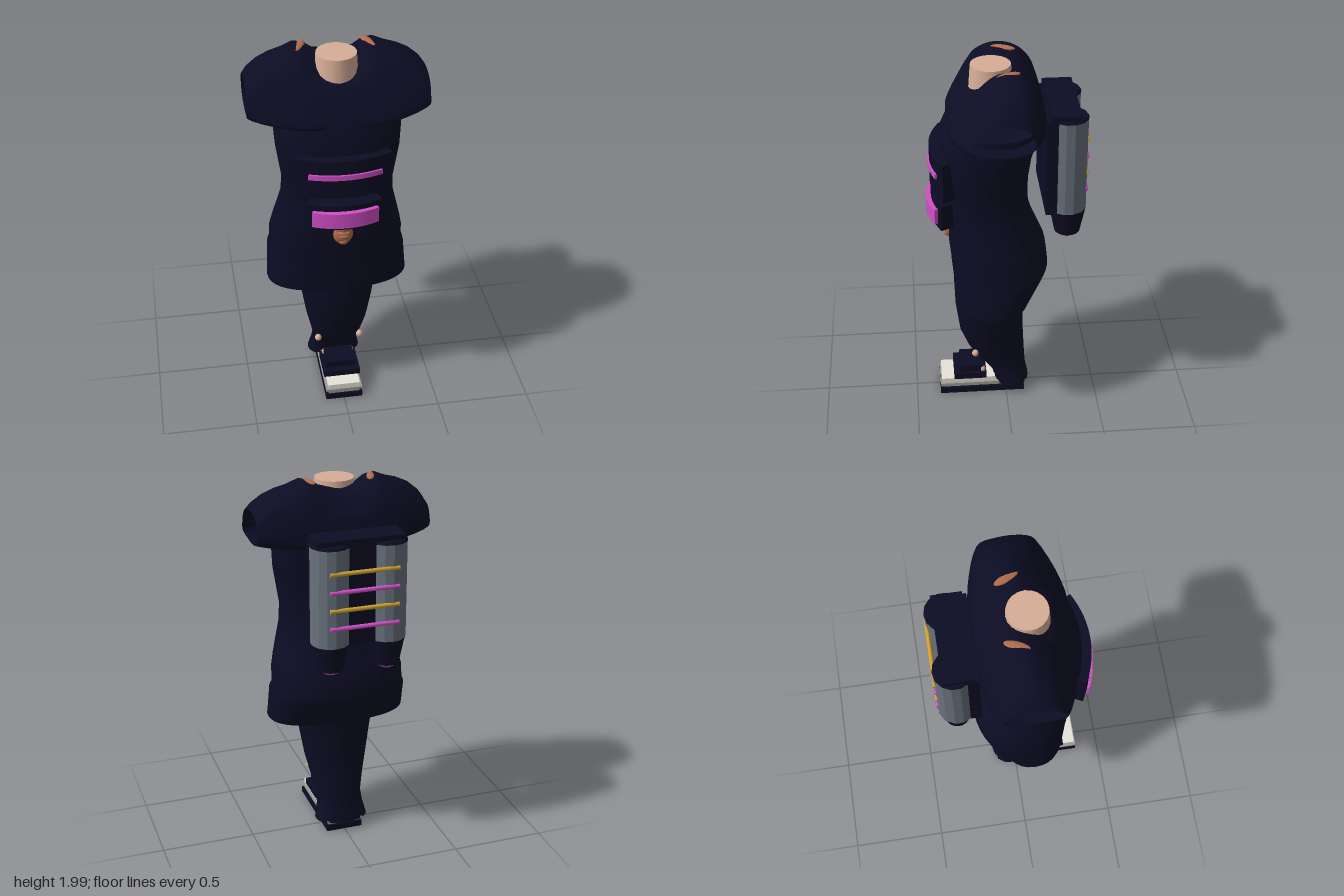
import * as THREE from 'three';

const mat = (name, color, side = THREE.FrontSide) => {
  const m = new THREE.MeshStandardMaterial({ color, side });
  m.name = name;
  return m;
};

// Joins equal-length closed rings of [x, y, z] points into a smooth open skin
function loft(rings) {
  const n = rings[0].length, index = [];
  for (let r = 0; r < rings.length - 1; r++) {
    for (let i = 0; i < n; i++) {
      const a = r * n + i, b = r * n + (i + 1) % n;
      index.push(a, a + n, b, b, a + n, b + n);
    }
  }
  const g = new THREE.BufferGeometry();
  g.setAttribute('position', new THREE.Float32BufferAttribute(rings.flat(2), 3));
  g.setIndex(index);
  g.computeVertexNormals();
  return g;
}

// Horizontal rounded section: height, half width, front z, back z
function section([y, w, zf, zb], power = 2.4, n = 40) {
  const ring = [], e = 2 / power;
  for (let i = 0; i < n; i++) {
    const a = i / n * Math.PI * 2, c = Math.cos(a), s = Math.sin(a);
    ring.push([w * Math.sign(c) * Math.abs(c) ** e, y,
      (zf + zb) / 2 + (zf - zb) / 2 * Math.sign(s) * Math.abs(s) ** e]);
  }
  return ring;
}

// Band curved around the front of the belly
function arcBand(w, sag, zFront, thick, y0, y1) {
  const R = (w * w + sag * sag) / (2 * sag), a = Math.asin(w / R), mid = Math.PI / 2;
  const s = new THREE.Shape();
  s.absarc(0, zFront - R, R, mid - a, mid + a, false);
  s.absarc(0, zFront - R, R - thick, mid + a, mid - a, true);
  s.closePath();
  const g = new THREE.ExtrudeGeometry(s, { depth: y1 - y0, bevelEnabled: false, curveSegments: 16 });
  return g.rotateX(Math.PI / 2).translate(0, y1, 0);
}

export function createModel() {
  const model = new THREE.Group();
  const navy = mat('navy cloth', 0x0c0c24, THREE.DoubleSide);
  const grey = mat('tank grey', 0x69727e);
  const pink = mat('magenta glow', 0xd24fc8);
  const gold = mat('gold', 0xd0a030);
  const skin = mat('light skin', 0xd8ae98);
  const tan = mat('dark skin', 0xb06c4c);
  const white = mat('shoe white', 0xe8e4da);
  const mid = mat('shoe grey', 0x9a9a96);

  const add = (name, geo, material, x = 0, y = 0, z = 0, parent = model) => {
    const m = new THREE.Mesh(geo, material);
    m.name = name;
    m.position.set(x, y, z);
    parent.add(m);
    return m;
  };
  const box = (w, h, d) => new THREE.BoxGeometry(w, h, d);
  const ball = (x, y, z) => new THREE.SphereGeometry(1, 20, 14).scale(x, y, z);

  // Coat body with a flared, open hem
  add('coat', loft([
    [0.68, 0.375, 0.27, -0.13], [0.84, 0.365, 0.285, -0.215], [0.86, 0.352, 0.285, -0.225],
    [0.95, 0.35, 0.295, -0.215], [1.02, 0.335, 0.3, -0.185], [1.1, 0.315, 0.3, -0.15],
    [1.2, 0.29, 0.3, -0.12], [1.3, 0.285, 0.31, -0.115], [1.4, 0.3, 0.32, -0.12],
    [1.5, 0.315, 0.335, -0.135], [1.6, 0.322, 0.335, -0.165], [1.69, 0.312, 0.295, -0.187],
  ].map(r => section(r))), navy);

  // Shoulders and short open sleeves, blended from chest profile to cuff along x
  const chest = [[0.295, 1.67], [0.245, 1.77], [0.19, 1.85], [0.13, 1.93], [0.04, 1.995],
    [-0.07, 1.985], [-0.14, 1.92], [-0.18, 1.82], [-0.187, 1.69], [-0.08, 1.65], [0.1, 1.65]];
  const cuff = [[0.19, 1.71], [0.185, 1.76], [0.165, 1.8], [0.13, 1.83], [0.05, 1.85],
    [-0.03, 1.84], [-0.08, 1.82], [-0.105, 1.78], [-0.11, 1.73], [-0.04, 1.69], [0.1, 1.69]];
  const shoulderRing = ([x, t, dip]) => {
    const pts = chest.map(([z, y], i) => new THREE.Vector3(x,
      THREE.MathUtils.lerp(y, cuff[i][1], t) - (y > 1.9 ? dip : 0),
      THREE.MathUtils.lerp(z, cuff[i][0], t)));
    return new THREE.CatmullRomCurve3(pts, true).getPoints(44).slice(0, 44).map(p => p.toArray());
  };
  const half = [[0.1, 0, 0.045], [0.15, 0.01, 0.01], [0.2, 0.05, -0.005], [0.26, 0.18, 0],
    [0.32, 0.36, -0.01], [0.38, 0.58, -0.015], [0.43, 0.82, -0.01], [0.455, 1, 0]];
  const stations = [...half.map(([x, t, d]) => [-x, t, d]).reverse(), [0, 0, 0.055], ...half];
  add('shouldersAndSleeves', loft(stations.map(shoulderRing)), navy);

  // Neck stump and the skin showing at the collar
  add('neck', new THREE.CylinderGeometry(0.102, 0.112, 0.135, 20), skin, 0, 1.907, 0.07);
  for (const s of [-1, 1]) {
    const strip = add('collarSkin', ball(0.022, 0.012, 0.065), tan, s * 0.17, 1.984, -0.005);
    strip.rotation.y = s * 0.4;
  }

  // Trousers, one joined shape
  add('trousers', loft([
    [0.06, 0.145, 0.06, -0.13], [0.13, 0.128, 0.08, -0.115], [0.2, 0.122, 0.14, -0.11],
    [0.3, 0.143, 0.21, -0.105], [0.4, 0.165, 0.25, -0.1], [0.55, 0.19, 0.27, -0.1],
    [0.7, 0.21, 0.275, -0.11], [0.86, 0.25, 0.27, -0.15],
  ].map(r => section(r, 2.2))), navy);

  // Small skin studs at shin and ankle
  for (const s of [-1, 1]) {
    add('shinStud', ball(0.018, 0.02, 0.018), skin, s * 0.115, 0.287, 0.172);
    add('ankleStud', ball(0.014, 0.02, 0.014), skin, s * 0.075, 0.145, 0.128);
  }

  // Layered shoe
  const shoe = new THREE.Group();
  shoe.name = 'shoe';
  model.add(shoe);
  add('sole', box(0.2, 0.034, 0.47), navy, 0, 0.02, 0.133, shoe);
  add('midsole', box(0.17, 0.018, 0.45), mid, 0, 0.046, 0.135, shoe);
  add('welt', box(0.2, 0.014, 0.48), mid, 0, 0.062, 0.128, shoe);
  add('toeTop', box(0.175, 0.028, 0.3), white, 0, 0.081, 0.21, shoe);
  add('strap', box(0.2, 0.036, 0.18), navy, 0, 0.116, 0.2, shoe);
  add('tongue', box(0.16, 0.04, 0.13), navy, 0, 0.15, 0.19, shoe);

  // Curved chest panel, goggles and their glowing strips
  add('chestPanel', arcBand(0.24, 0.06, 0.388, 0.08, 1.33, 1.54), navy);
  add('chestStrip', arcBand(0.185, 0.034, 0.398, 0.03, 1.438, 1.465), pink);
  add('goggleFrame', arcBand(0.195, 0.045, 0.385, 0.09, 1.14, 1.28), navy);
  add('goggleLens', arcBand(0.17, 0.04, 0.412, 0.05, 1.165, 1.25), pink);

  // Small face below the goggles
  const face = new THREE.Group();
  face.name = 'face';
  model.add(face);
  add('head', ball(0.062, 0.155, 0.06), tan, 0, 1.143, 0.268, face);
  add('jaw', ball(0.055, 0.065, 0.04), tan, 0, 1.055, 0.285, face);
  add('nose', ball(0.022, 0.028, 0.025), tan, 0, 1.115, 0.328, face);
  add('upperLip', ball(0.032, 0.01, 0.014), tan, 0, 1.075, 0.322, face);
  add('lowerLip', ball(0.027, 0.011, 0.014), tan, 0, 1.053, 0.318, face);
  add('chin', ball(0.025, 0.02, 0.02), tan, 0, 1.016, 0.305, face);

  // Backpack with two tanks and nozzles
  const pack = new THREE.Group();
  pack.name = 'backpack';
  model.add(pack);
  add('packBody', box(0.46, 0.52, 0.175), navy, 0, 1.49, -0.278, pack);
  add('packLid', box(0.46, 0.03, 0.155), navy, 0, 1.765, -0.288, pack);
  const tankGeo = new THREE.CylinderGeometry(0.1, 0.1, 0.51, 14).toNonIndexed();
  tankGeo.computeVertexNormals();
  for (const s of [-1, 1]) {
    add('tank', tankGeo, grey, s * 0.15, 1.49, -0.307, pack);
    add('tankCap', new THREE.CylinderGeometry(0.095, 0.102, 0.012, 14), navy, s * 0.15, 1.749, -0.307, pack);
    add('nozzle', new THREE.CylinderGeometry(0.094, 0.066, 0.14, 20), navy, s * 0.15, 1.163, -0.312, pack);
    add('nozzleGlow', ball(0.056, 0.035, 0.056), pink, s * 0.15, 1.098, -0.312, pack);
  }

  // Alternating bars across the back of the pack
  [1.625, 1.53, 1.435, 1.34].forEach((y, i) => {
    const bar = new THREE.CylinderGeometry(0.011, 0.011, 0.36, 10).rotateZ(Math.PI / 2);
    add('packBar', bar, i % 2 ? pink : gold, 0, y, -0.402, pack);
  });

  return model;
}
